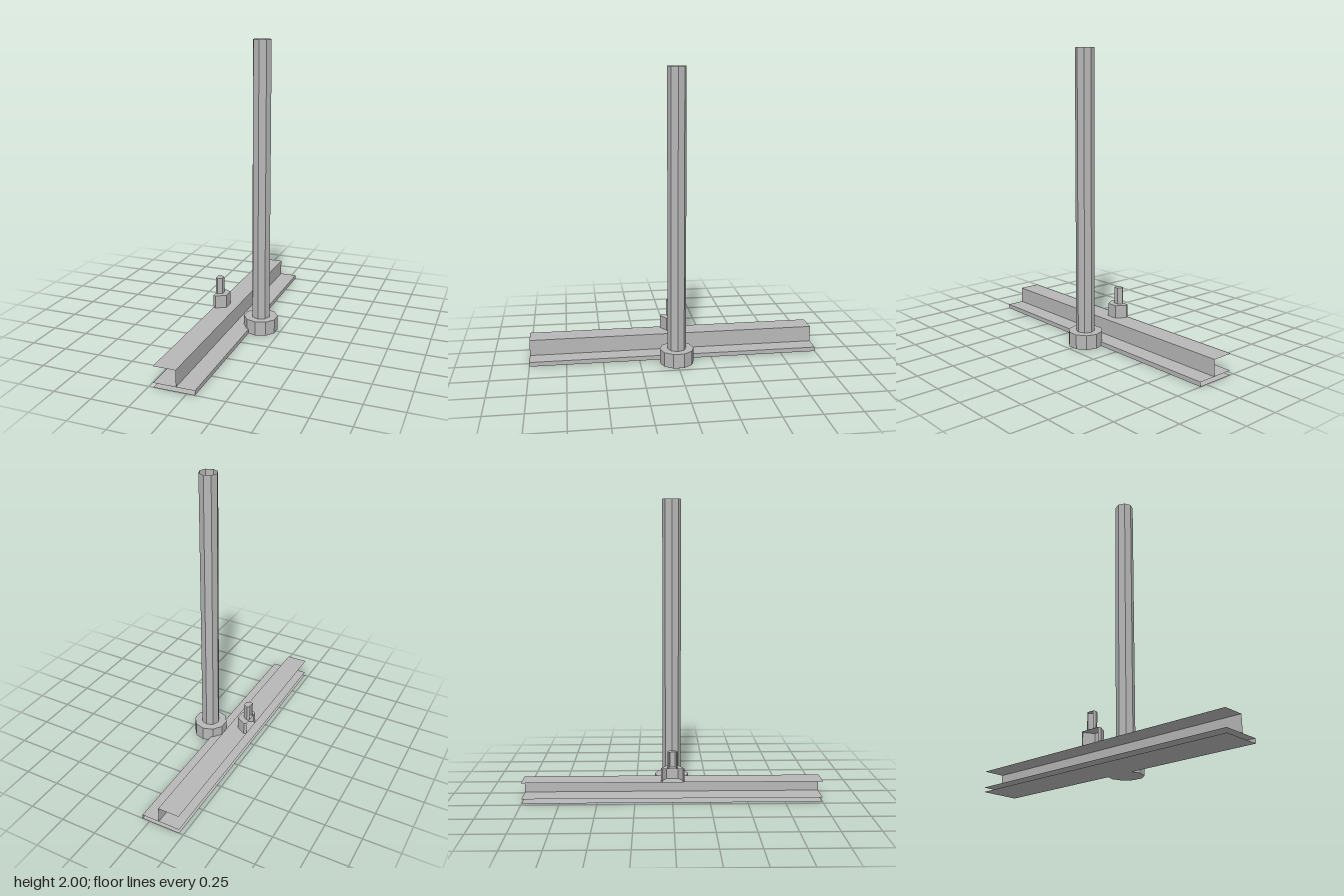
import * as THREE from 'three';

const steel = new THREE.MeshStandardMaterial({ color: 0xb8b8b8, flatShading: true, side: THREE.DoubleSide });
steel.name = 'grey steel';

const CUT = -0.22; // open edge of the half rail and its bolt

function addMesh(parent, name, geometry, x = 0, y = 0, z = 0) {
  const mesh = new THREE.Mesh(geometry, steel);
  mesh.name = name;
  mesh.position.set(x, y, z);
  parent.add(mesh);
  return mesh;
}

// Thin faceted sheet: a path of [x, y, z] points swept along one direction
function sweep(path, direction) {
  const points = path.map((p) => new THREE.Vector3(...p));
  const d = new THREE.Vector3(...direction);
  const corners = [];
  for (let i = 0; i < points.length - 1; i++) {
    const a = points[i], b = points[i + 1];
    const c = b.clone().add(d), e = a.clone().add(d);
    corners.push(a, b, c, a, c, e);
  }
  const geometry = new THREE.BufferGeometry().setFromPoints(corners);
  geometry.computeVertexNormals();
  return geometry;
}

// Hexagonal prism sliced off at the rail's open edge
function addCutHex(parent, name, cx, radius, y0, y1) {
  const flat = radius * Math.cos(Math.PI / 6);
  const zCut = radius - (cx - CUT) * Math.tan(Math.PI / 6);
  const outline = [
    [CUT, zCut], [cx, radius], [cx + flat, radius / 2],
    [cx + flat, -radius / 2], [cx, -radius], [CUT, -zCut],
  ];
  const part = new THREE.Group();
  part.name = name;
  parent.add(part);
  addMesh(part, name + 'Sides', sweep(outline.map(([x, z]) => [x, y0, z]), [0, y1 - y0, 0]));
  const shape = new THREE.Shape(outline.map(([x, z]) => new THREE.Vector2(x, -z)));
  addMesh(part, name + 'Top', new THREE.ShapeGeometry(shape).rotateX(-Math.PI / 2), 0, y1, 0);
}

export function createModel() {
  const model = new THREE.Group();
  model.name = 'railAndPost';

  // Open-ended rail made of sheets running along z
  const rail = new THREE.Group();
  rail.name = 'rail';
  model.add(rail);
  const along = [0, 0, 2];
  addMesh(rail, 'railFoot', sweep(
    [[CUT, 0, -1], [0.053, 0, -1], [0.053, 0.03, -1], [CUT, 0.03, -1]], along));
  addMesh(rail, 'railWebAndHead', sweep(
    [[-0.07, 0.03, -1], [-0.07, 0.14, -1], [CUT, 0.14, -1]], along));

  // Nut and bolt shank on the rail head
  addCutHex(model, 'nut', -0.203, 0.078, 0.14, 0.23);
  addCutHex(model, 'bolt', -0.203, 0.034, 0.23, 0.345);

  // Post: ten-sided foot and an open eight-sided tube
  addMesh(model, 'postFoot', new THREE.CylinderGeometry(0.117, 0.117, 0.1, 10), 0.108, 0.05, 0);
  addMesh(model, 'postTube', new THREE.CylinderGeometry(0.063, 0.063, 1.9, 8, 1, true), 0.108, 1.05, 0);

  return model;
}
